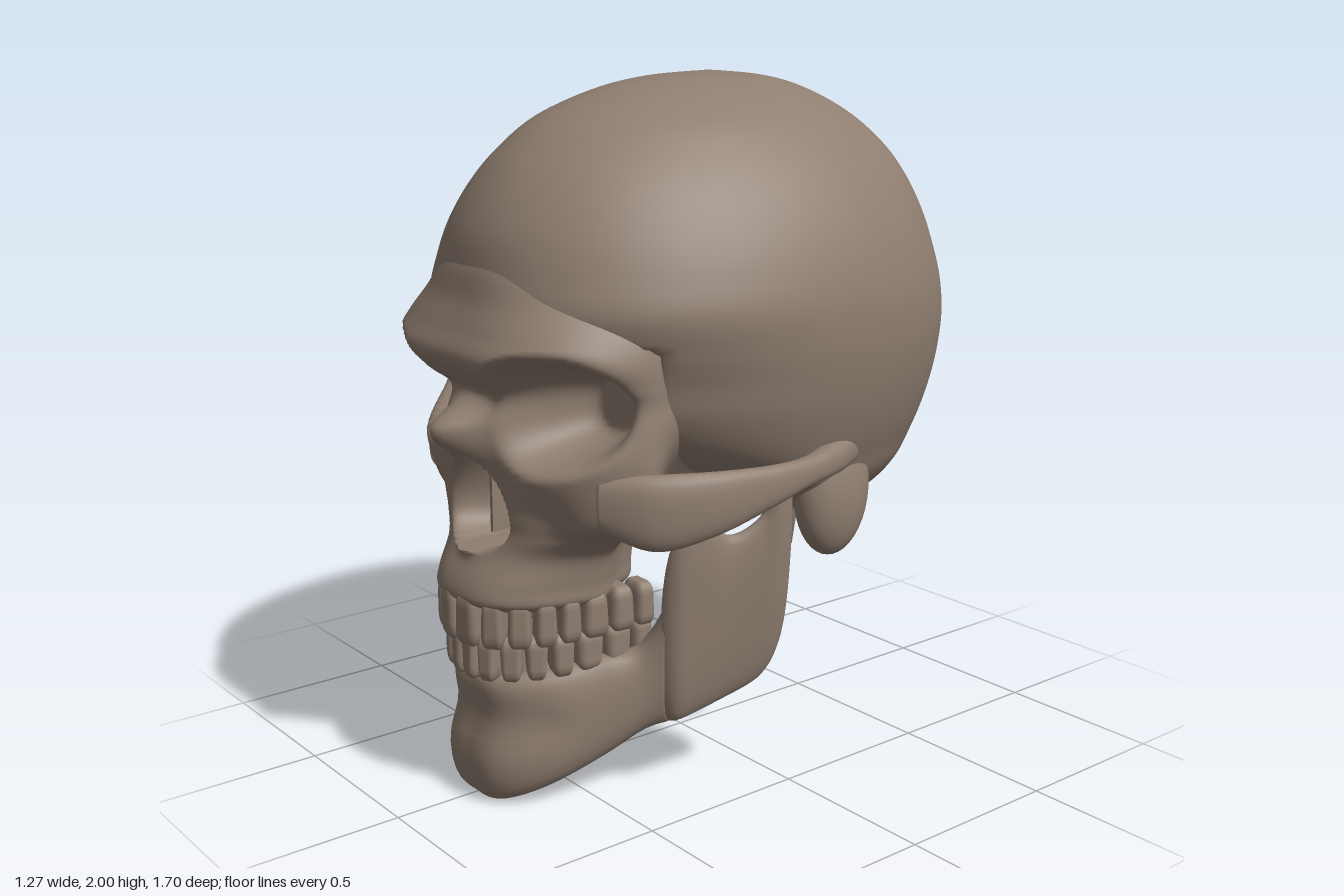
import * as THREE from 'three';
import { RoundedBoxGeometry } from 'three/addons/geometries/RoundedBoxGeometry.js';

const { smoothstep, lerp, clamp } = THREE.MathUtils;
const bell = (v, width) => Math.exp(-((v / width) ** 2));

// Smooth interpolation through rows of numbers; t runs from 0 to 1
function sample(rows, t) {
  const last = rows.length - 1;
  const f = clamp(t, 0, 1) * last;
  const i = Math.min(Math.floor(f), last - 1);
  const u = f - i;
  const [a, b, c, d] = [rows[Math.max(i - 1, 0)], rows[i], rows[i + 1], rows[Math.min(i + 2, last)]];
  return b.map((_, k) => b[k] + 0.5 * u * (c[k] - a[k]
    + u * (2 * a[k] - 5 * b[k] + 4 * c[k] - d[k] + u * (3 * (b[k] - c[k]) + d[k] - a[k]))));
}

// Closed skin over rings: point(v, angle) returns [x, y, z]
function loft(rings, sides, point) {
  const pos = [], index = [];
  for (let j = 0; j <= rings; j++) {
    for (let i = 0; i < sides; i++) pos.push(...point(j / rings, (i / sides) * Math.PI * 2));
  }
  for (let j = 0; j < rings; j++) {
    for (let i = 0; i < sides; i++) {
      const a = j * sides + i, b = j * sides + (i + 1) % sides;
      index.push(a, b, b + sides, a, b + sides, a + sides);
    }
  }
  // End caps
  for (const j of [0, rings]) {
    const mid = [0, 0, 0];
    for (let i = 0; i < sides * 3; i++) mid[i % 3] += pos[j * sides * 3 + i] / sides;
    const centre = pos.length / 3;
    pos.push(...mid);
    for (let i = 0; i < sides; i++) {
      const a = j * sides + i, b = j * sides + (i + 1) % sides;
      index.push(...(j === 0 ? [centre, b, a] : [centre, a, b]));
    }
  }
  const geo = new THREE.BufferGeometry();
  geo.setAttribute('position', new THREE.Float32BufferAttribute(pos, 3));
  geo.setIndex(index);
  geo.computeVertexNormals();
  return geo;
}

// Unit superellipse radius at an angle
const rounded = (angle, n) =>
  (Math.abs(Math.sin(angle)) ** n + Math.abs(Math.cos(angle)) ** n) ** (-1 / n);

// Horizontal slice: row is [y, back z, front z, half width, squareness of the front]
function slice([y, back, front, width, n], angle, zc) {
  const r = rounded(angle, Math.cos(angle) > 0 ? n : 2), c = Math.cos(angle) * r;
  return [width * Math.sin(angle) * r, y, zc + c * (c > 0 ? front - zc : zc - back)];
}

const craniumRows = [
  [0.69, -0.50, -0.22, 0.15, 2], [0.72, -0.59, -0.12, 0.30, 2], [0.78, -0.67, 0, 0.43, 2.1],
  [0.86, -0.73, 0.12, 0.51, 2.2], [0.95, -0.775, 0.38, 0.55, 2.2], [1.03, -0.805, 0.56, 0.58, 2.1],
  [1.12, -0.83, 0.65, 0.605, 2.1], [1.21, -0.845, 0.68, 0.622, 2.1], [1.30, -0.848, 0.71, 0.631, 2.2],
  [1.40, -0.83, 0.735, 0.63, 2.3], [1.50, -0.80, 0.725, 0.61, 2.2], [1.60, -0.765, 0.70, 0.575, 2.1],
  [1.70, -0.715, 0.645, 0.523, 2.05], [1.79, -0.645, 0.57, 0.457, 2], [1.88, -0.53, 0.45, 0.367, 2],
  [1.95, -0.39, 0.27, 0.25, 2], [1.985, -0.26, 0.10, 0.14, 2], [2.0, -0.10, -0.10, 0, 2],
];

// Braincase, cut flat in front where the face covers it
function craniumPoint(v, angle) {
  const row = sample(craniumRows, v);
  const [x, y, z] = slice(row, angle, clamp(-0.13, row[1], row[2]));
  return [x, y, Math.min(z, lerp(0.44, 1, smoothstep(y, 1.3, 1.4)))];
}

const faceRows = [
  [0.575, 0.27, 0.76, 0.24, 2.6], [0.60, 0.25, 0.80, 0.265, 2.6], [0.65, 0.25, 0.79, 0.27, 2.6],
  [0.73, 0.25, 0.745, 0.295, 2.6], [0.79, 0.25, 0.72, 0.37, 2.7], [0.84, 0.20, 0.715, 0.46, 2.8],
  [0.90, 0.05, 0.715, 0.51, 3], [1.0, -0.05, 0.725, 0.525, 3.2], [1.1, -0.05, 0.715, 0.512, 3.4],
  [1.17, -0.05, 0.715, 0.50, 3.5], [1.22, -0.05, 0.775, 0.495, 3.5], [1.28, -0.05, 0.815, 0.49, 3.5],
  [1.35, -0.05, 0.785, 0.478, 3.2], [1.42, -0.05, 0.752, 0.45, 2.8], [1.50, -0.05, 0.727, 0.40, 2.5],
  [1.58, -0.05, 0.685, 0.33, 2.3],
];

// Face slices with the nose bridge raised and the sockets pressed in
function facePoint(v, angle) {
  const row = sample(faceRows, v);
  let [x, y, z] = slice(row, angle, lerp(row[1], row[2], 0.2));
  // Hollow behind the cheekbone and temple
  const hollow = 0.08 + 0.27 * (1 - smoothstep(y, 0.85, 1.15));
  x *= 1 - hollow * (1 - smoothstep(z, 0.33, 0.5));
  if (z < 0.4) return [x, y, z];
  const ax = Math.abs(x);
  // Nasal bones and the small spine under the opening
  const bridge = 0.135 * bell(y - 1.08, y > 1.08 ? 0.055 : 0.1);
  z += bridge * bell(x, 0.085) + 0.06 * bell(y - 0.75, 0.025) * bell(x, 0.04);
  // Shallow hollow in the cheek beside the nose
  z -= 0.025 * bell(ax - 0.28, 0.07) * bell(y - 0.84, 0.06);
  // Eye sockets, lower toward the nose
  const ex = Math.abs(ax - 0.31) / 0.187;
  const ey = Math.abs(y - 1.147 - 0.12 * (ax - 0.31)) / 0.17;
  const er = (ex ** 2.4 + ey ** 2.4) ** (1 / 2.4);
  if (z > 0.46) z = lerp(z, 0.46, 1 - smoothstep(er, 0.4, 1.04));
  // Pear-shaped nose opening
  const h = (y - 0.73) / 0.305;
  if (h > 0 && h < 1) {
    const half = 0.14 * Math.sin(Math.PI * h ** 0.55) ** 0.75 + 0.001;
    z = lerp(z, 0.54, 1 - smoothstep(ax / half, 0.5, 1.08));
  }
  return [x, y, z];
}

// Upright band along a path: rows are [x, z, bottom, top, half thickness]
function bandPoint(rows, v, angle) {
  const [x, z, low, high, thick] = sample(rows, v);
  const p = sample(rows, v - 0.004), q = sample(rows, v + 0.004);
  const tx = q[0] - p[0], tz = q[1] - p[1], len = Math.hypot(tx, tz) || 1;
  const r = rounded(angle, 2.6);
  const out = thick * Math.cos(angle) * r;
  const y = (low + high) / 2 - (high - low) / 2 * Math.sin(angle) * r;
  return [x - tz / len * out, y, z + tx / len * out];
}
const mirrored = (rows) => rows.map(([x, ...rest]) => [-x, ...rest]).reverse();

// Half jaw from chin to hinge
const halfJaw = [
  [0, 0.725, 0, 0.37, 0.055], [0.09, 0.71, 0.005, 0.375, 0.058], [0.165, 0.62, 0.045, 0.39, 0.06],
  [0.225, 0.47, 0.115, 0.415, 0.057], [0.275, 0.365, 0.18, 0.44, 0.055], [0.325, 0.305, 0.205, 0.59, 0.05],
  [0.355, 0.295, 0.215, 0.80, 0.042], [0.375, 0.25, 0.23, 0.815, 0.038], [0.40, 0.165, 0.26, 0.755, 0.036],
  [0.43, 0.08, 0.30, 0.80, 0.036], [0.442, 0.04, 0.34, 0.90, 0.038], [0.445, 0.01, 0.41, 0.92, 0.036],
  [0.445, 0, 0.48, 0.89, 0.025],
];
const jawRows = [...mirrored(halfJaw.slice(1)), ...halfJaw];

// Jaw branches lean outward; the chin curves in below the teeth
function jawPoint(v, angle) {
  const [x, y, z] = bandPoint(jawRows, v, angle);
  const lean = 0.07 * (y - 0.4) * (1 - smoothstep(z, 0.2, 0.4)) * Math.sign(x);
  const chin = -0.035 * bell(y - 0.25, 0.08) * smoothstep(z, 0.5, 0.7);
  return [x + lean, y, z + chin];
}

// Left cheekbone, from under the eye back to the ear
const cheekRows = [
  [0.40, 0.595, 0.85, 0.99, 0.03], [0.50, 0.49, 0.795, 1.0, 0.04], [0.572, 0.35, 0.825, 1.0, 0.034],
  [0.605, 0.18, 0.88, 0.995, 0.028], [0.60, 0.04, 0.915, 0.995, 0.03], [0.565, -0.08, 0.92, 1.01, 0.04],
  [0.50, -0.19, 0.92, 1.02, 0.05],
];

export function createModel() {
  const skull = new THREE.Group();
  skull.name = 'skull';
  const bone = new THREE.MeshStandardMaterial({ color: 0x8f7e70 });
  bone.name = 'bone';

  const add = (name, geo, position = [0, 0, 0], scale = [1, 1, 1], parent = skull) => {
    const mesh = new THREE.Mesh(geo, bone);
    mesh.name = name;
    mesh.position.set(...position);
    mesh.scale.set(...scale);
    parent.add(mesh);
    return mesh;
  };

  add('cranium', loft(136, 140, craniumPoint));
  add('face', loft(105, 300, facePoint));
  add('lowerJaw', loft(192, 32, jawPoint));

  const ball = new THREE.SphereGeometry(1, 32, 20);
  add('skullBase', ball, [0, 0.92, 0.05], [0.24, 0.07, 0.3]);
  add('noseDivider', new THREE.BoxGeometry(0.012, 0.22, 0.14), [0, 0.87, 0.6]);

  // Paired bones at the sides
  for (const s of [-1, 1]) {
    const side = s > 0 ? 'left' : 'right';
    const rows = s > 0 ? cheekRows : mirrored(cheekRows);
    add(side + 'Cheekbone', loft(60, 28, (v, a) => bandPoint(rows, v, a)));
    const ear = add(side + 'EarBone', ball, [s * 0.465, 0.84, -0.18], [0.085, 0.195, 0.125]);
    ear.rotation.set(-0.15, 0, s * 0.1);
    add(side + 'JawHinge', ball, [s * 0.478, 0.895, 0.015], [0.065, 0.042, 0.045]);
    const spike = new THREE.ConeGeometry(0.025, 0.18, 12).rotateX(Math.PI);
    add(side + 'BaseSpike', spike, [s * 0.4, 0.76, -0.09]);
  }

  // One tooth, narrower toward its root at the top
  const tooth = new RoundedBoxGeometry(1, 1, 1, 2, 0.28);
  const p = tooth.attributes.position;
  for (let i = 0; i < p.count; i++) p.setX(i, p.getX(i) * (1 - 0.2 * (p.getY(i) + 0.5)));

  // Teeth set along the curve of each jaw, from the middle outward
  const halfArch = [[0, 0.775], [0.1, 0.75], [0.185, 0.65], [0.222, 0.5], [0.238, 0.3]];
  const archPoints = [...mirrored(halfArch.slice(1)), ...halfArch];
  function teethRow(name, widths, inset, frontY, backY, frontHeight, backHeight, flip) {
    const row = new THREE.Group();
    row.name = name;
    const curve = new THREE.CatmullRomCurve3(
      archPoints.map(([x, z]) => new THREE.Vector3(x * (1 - inset), 0, z - inset * 0.5)));
    const length = curve.getLength();
    for (const s of [-1, 1]) {
      let along = 0;
      widths.forEach((w, i) => {
        const u = 0.5 + s * (along + w / 2) / length;
        along += w;
        const at = curve.getPointAt(u), t = curve.getTangentAt(u);
        const k = i / (widths.length - 1);
        const mesh = add('tooth', tooth, [at.x, lerp(frontY, backY, k), at.z],
          [w, lerp(frontHeight, backHeight, k), lerp(0.065, 0.095, k)], row);
        mesh.rotation.set(0, Math.atan2(-t.z, t.x), flip ? Math.PI : 0, 'YXZ');
      });
    }
    skull.add(row);
  }
  teethRow('upperTeeth', [0.085, 0.07, 0.07, 0.066, 0.066, 0.083, 0.08, 0.065],
    0, 0.545, 0.55, 0.155, 0.13, false);
  teethRow('lowerTeeth', [0.055, 0.06, 0.066, 0.066, 0.07, 0.086, 0.086, 0.068],
    0.04, 0.43, 0.45, 0.135, 0.12, true);

  return skull;
}
